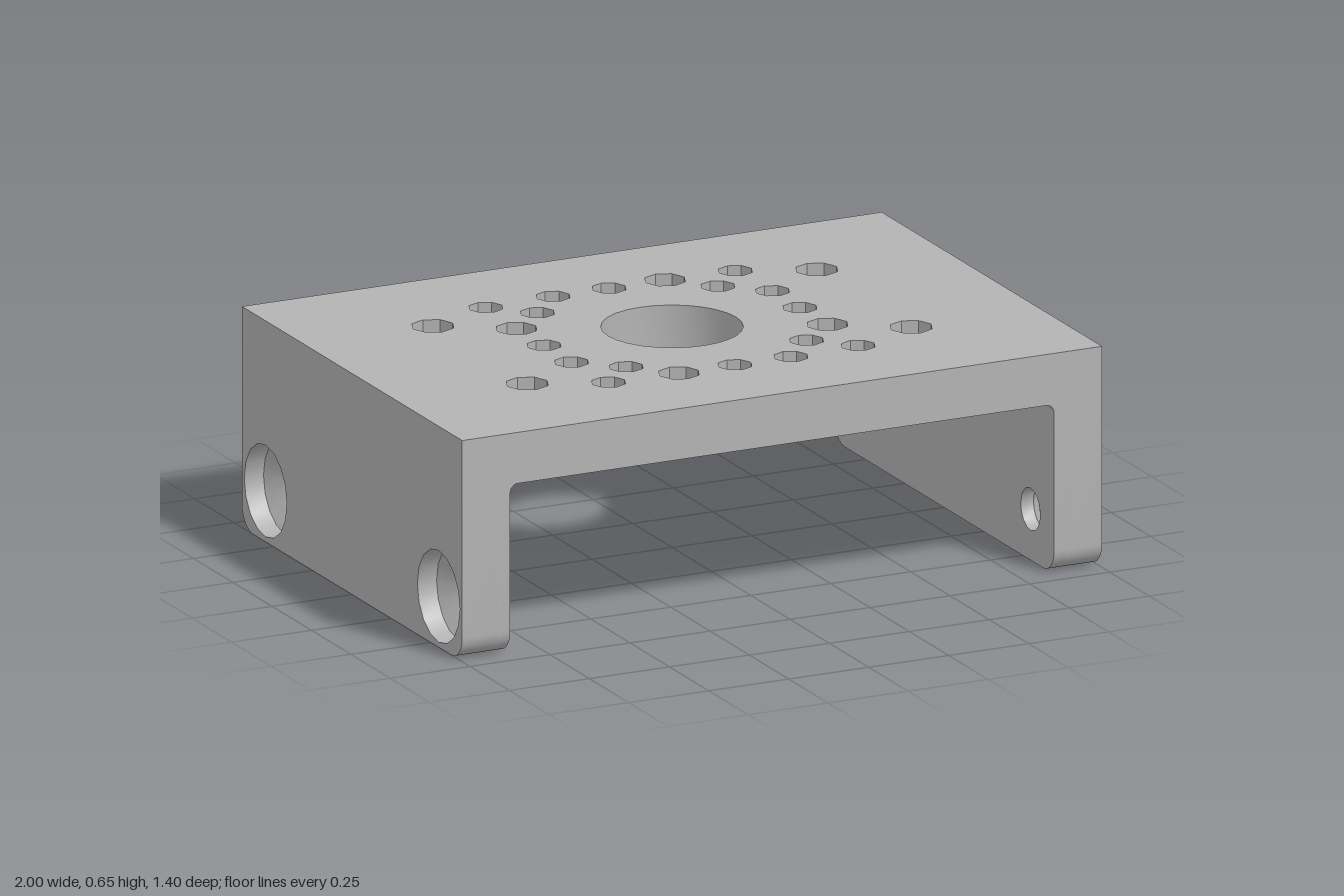
import * as THREE from 'three';
import { toCreasedNormals } from 'three/addons/utils/BufferGeometryUtils.js';

const steel = new THREE.MeshStandardMaterial({ color: 0xb3b3b3 });
steel.name = 'plain grey metal';

const SIZE = { halfX: 1, halfZ: 0.7, height: 0.65, wall: 0.15 };
const UNDER = SIZE.height - SIZE.wall;

// Regular polygon outline used for every drilled hole
function hole(x, y, r, sides) {
  const pts = [];
  for (let i = 0; i < sides; i++) {
    const a = (i / sides) * Math.PI * 2;
    pts.push(new THREE.Vector2(x + r * Math.cos(a), y + r * Math.sin(a)));
  }
  return new THREE.Path(pts);
}

function extrude(shape, depth) {
  return new THREE.ExtrudeGeometry(shape, { depth, bevelEnabled: false, curveSegments: 6 });
}

function addMesh(parent, name, geometry) {
  const mesh = new THREE.Mesh(toCreasedNormals(geometry, 0.6), steel);
  mesh.name = name;
  parent.add(mesh);
}

// Horizontal plate with the centre bore and the drilled hole pattern
function topPlate() {
  const { halfX: w, halfZ: d } = SIZE;
  const shape = new THREE.Shape([
    new THREE.Vector2(-w, -d), new THREE.Vector2(w, -d),
    new THREE.Vector2(w, d), new THREE.Vector2(-w, d),
  ]);
  shape.holes.push(hole(0, 0, 0.2, 28));
  for (const sx of [-1, 1]) {
    for (const sy of [-1, 1]) {
      shape.holes.push(hole(sx * 0.6, sy * 0.3, 0.062, 8));
      shape.holes.push(hole(sx * 0.39, sy * 0.39, 0.05, 8));
      shape.holes.push(hole(sx * 0.282, sy * 0.282, 0.05, 8));
      // alternate holes of the square ring are larger
      const big = sx * sy > 0;
      shape.holes.push(hole(sx * 0.175, sy * 0.4, big ? 0.06 : 0.05, 8));
      shape.holes.push(hole(sx * 0.4, sy * 0.175, big ? 0.05 : 0.06, 8));
    }
    shape.holes.push(hole(sx * 0.4, 0, 0.05, 8));
    shape.holes.push(hole(0, sx * 0.4, 0.05, 8));
  }
  return extrude(shape, SIZE.wall).rotateX(-Math.PI / 2).translate(0, UNDER, 0);
}

// Side wall layer with rounded lower corners and two bolt holes
function wallLayer(x0, x1, radius) {
  const d = SIZE.halfZ, r = 0.07;
  const s = new THREE.Shape();
  s.moveTo(-d, UNDER);
  s.lineTo(-d, r);
  s.absarc(-d + r, r, r, Math.PI, Math.PI * 1.5, false);
  s.lineTo(d - r, 0);
  s.absarc(d - r, r, r, Math.PI * 1.5, Math.PI * 2, false);
  s.lineTo(d, UNDER);
  for (const z of [-0.55, 0.55]) s.holes.push(hole(z, 0.15, radius, 16));
  return extrude(s, x1 - x0).rotateY(Math.PI / 2).translate(x0, 0, 0);
}

function sideWall(name) {
  const side = new THREE.Group();
  side.name = name;
  const sinkTop = 0.94, sinkEnd = 0.89, wide = 0.135, narrow = 0.062;
  addMesh(side, 'outerWall', wallLayer(sinkEnd, SIZE.halfX, wide));
  addMesh(side, 'innerWall', wallLayer(SIZE.halfX - SIZE.wall, sinkEnd, narrow));
  // Conical seats inside the bolt holes
  for (const z of [-0.55, 0.55]) {
    const cone = new THREE.LatheGeometry(
      [new THREE.Vector2(wide, sinkTop), new THREE.Vector2(narrow, sinkEnd)], 16);
    addMesh(side, 'boltSeat', cone.rotateZ(-Math.PI / 2).translate(0, 0.15, z));
  }
  // Small fillet between wall and plate
  const f = 0.025, x = SIZE.halfX - SIZE.wall;
  const s = new THREE.Shape();
  s.moveTo(x, UNDER);
  s.lineTo(x - f, UNDER);
  s.absarc(x - f, UNDER - f, f, Math.PI / 2, 0, true);
  s.lineTo(x, UNDER);
  addMesh(side, 'innerFillet', extrude(s, SIZE.halfZ * 2).translate(0, 0, -SIZE.halfZ));
  return side;
}

export function createModel() {
  const bracket = new THREE.Group();
  bracket.name = 'mountingBracket';
  addMesh(bracket, 'topPlate', topPlate());
  const left = sideWall('leftWall');
  const right = sideWall('rightWall');
  right.rotation.y = Math.PI;
  bracket.add(left, right);
  return bracket;
}
